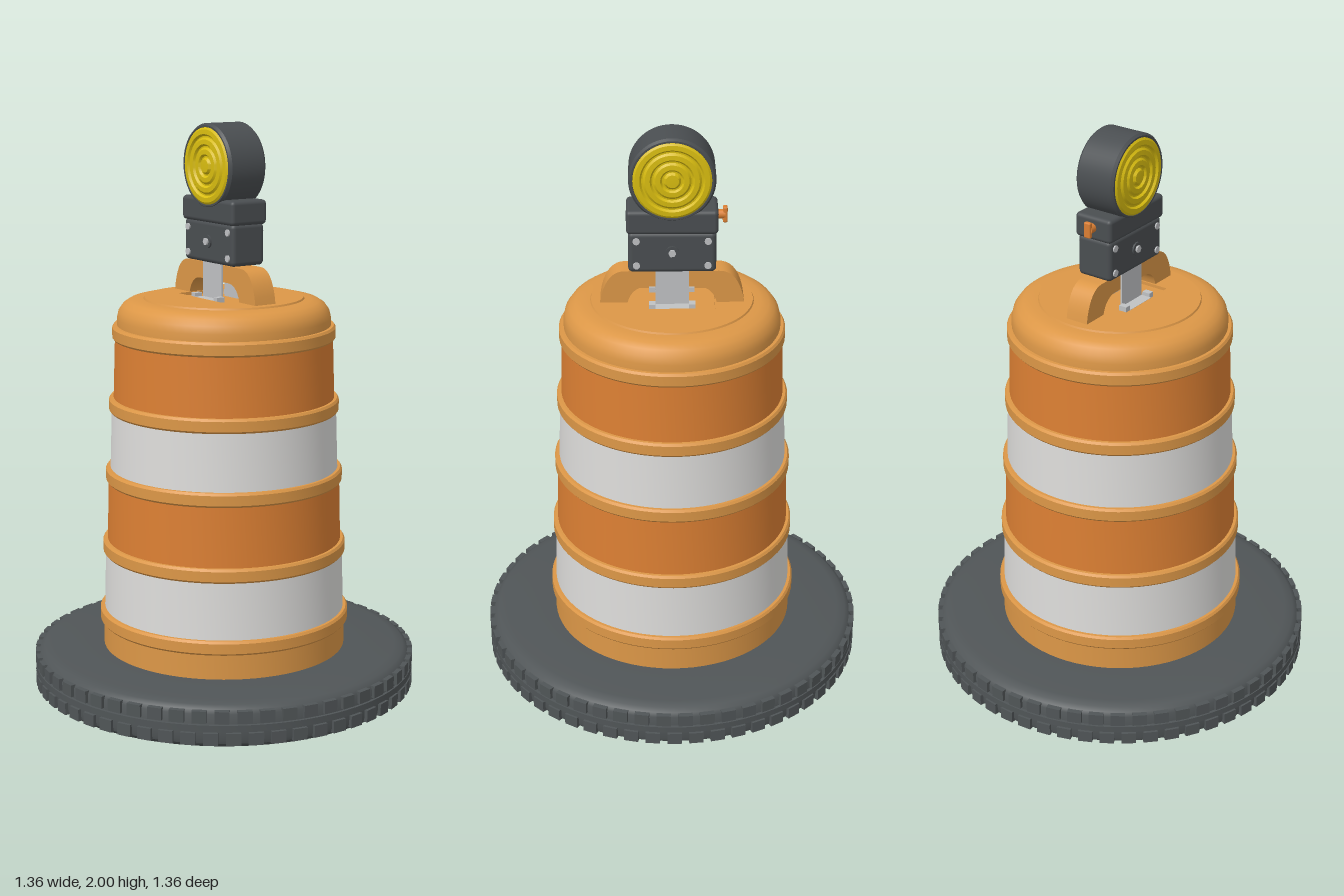
import * as THREE from 'three';
import { mergeGeometries, toCreasedNormals } from 'three/addons/utils/BufferGeometryUtils.js';
import { RoundedBoxGeometry } from 'three/addons/geometries/RoundedBoxGeometry.js';

const material = (name, color) => new THREE.MeshStandardMaterial({ name, color });

export function createModel() {
  const model = new THREE.Group();
  model.name = 'trafficBarrel';
  const shell = material('light orange plastic', 0xdc9747);
  const orange = material('orange reflective', 0xdb7f33);
  const white = material('white reflective', 0xdddcda);
  const rubber = material('dark rubber', 0x505557);
  const housing = material('charcoal housing', 0x4a4e51);
  const yellow = material('yellow lens', 0xd9bd10);
  const metal = material('light metal', 0xbfc1c3);

  const add = (name, geometry, mat, parent = model) => {
    const mesh = new THREE.Mesh(geometry, mat);
    mesh.name = name;
    parent.add(mesh);
    return mesh;
  };
  // Profiles run bottom to top so the faces point outwards
  const lathe = (points, segments = 72) => toCreasedNormals(
    new THREE.LatheGeometry(points.map(([r, y]) => new THREE.Vector2(r, y)), segments), 0.5);

  // Tyre ring used as the weighted base
  const tire = new THREE.Group();
  tire.name = 'tireBase';
  model.add(tire);
  add('tireCore', lathe([
    [0.41, 0.01], [0.51, 0.012], [0.515, 0], [0.645, 0], [0.664, 0.016], [0.668, 0.03],
    [0.668, 0.12], [0.66, 0.135], [0.645, 0.146], [0.615, 0.152], [0.41, 0.152],
  ], 112), rubber, tire);

  // Tread: two staggered rows of blocks and a middle rib
  const blocks = [];
  const count = 56;
  for (let i = 0; i < count; i++) {
    for (const [y, height, shift] of [[0.036, 0.042, 0], [0.112, 0.042, 0.5]]) {
      const block = new THREE.BoxGeometry(0.05, height, 0.03);
      block.translate(0, y, 0.664);
      block.rotateY((i + shift) / count * Math.PI * 2);
      blocks.push(block);
    }
  }
  add('treadBlocks', mergeGeometries(blocks), rubber, tire);
  add('treadRib', lathe([[0.66, 0.063], [0.678, 0.063], [0.678, 0.085], [0.66, 0.085]], 112), rubber, tire);

  // Barrel foot and closed bottom
  add('barrelBottom', lathe([
    [0, 0.006], [0.51, 0.006], [0.51, 0.02], [0.432, 0.03], [0.432, 0.245],
  ]), shell);

  // Raised ribs, with a coloured stripe above each
  const ribs = [[0.24, 0.444], [0.49, 0.431], [0.75, 0.418], [1.0, 0.404], [1.255, 0.39]];
  ribs.forEach(([y, r], i) => {
    const h = 0.05;
    add('rib', lathe([
      [r - 0.025, y], [r - 0.006, y], [r, y + 0.007],
      [r, y + h - 0.008], [r - 0.006, y + h], [r - 0.025, y + h],
    ]), shell);
    if (i === ribs.length - 1) return;
    const [nextY, nextR] = ribs[i + 1];
    add(i % 2 ? 'orangeStripe' : 'whiteStripe',
      lathe([[r - 0.016, y + h - 0.005], [nextR - 0.009, nextY + 0.005]]),
      i % 2 ? orange : white);
  });

  // Rounded lid shoulder
  const lidY = 1.402;
  add('lidShoulder', lathe([
    [0.373, 1.295], [0.373, 1.33], [0.367, 1.355], [0.352, 1.376], [0.332, 1.389],
    [0.305, 1.395], [0.28, 1.396], [0.277, lidY], [0.27, lidY],
  ]), shell);

  // Flat lid top with a shallow rectangular recess
  const disc = new THREE.Shape().absarc(0, 0, 0.271, 0, Math.PI * 2);
  const recess = new THREE.Path([
    [-0.094, -0.145], [-0.094, 0.145], [0.094, 0.145], [0.094, -0.145],
  ].map(([x, y]) => new THREE.Vector2(x, y)));
  disc.holes.push(recess);
  const lidTop = new THREE.ExtrudeGeometry(disc, { depth: 0.02, bevelEnabled: false, curveSegments: 36 });
  lidTop.rotateX(-Math.PI / 2).translate(0, lidY - 0.02, 0);
  add('lidTop', lidTop, shell);
  const floor = add('recessFloor', new THREE.BoxGeometry(0.2, 0.006, 0.3), shell);
  floor.position.y = lidY - 0.014;

  // Arched carrying handle
  const arch = new THREE.Shape();
  arch.moveTo(-0.248, 1.385);
  arch.lineTo(-0.24, 1.43);
  arch.quadraticCurveTo(-0.218, 1.518, -0.16, 1.518);
  arch.lineTo(0.16, 1.518);
  arch.quadraticCurveTo(0.218, 1.518, 0.24, 1.43);
  arch.lineTo(0.248, 1.385);
  arch.lineTo(0.155, 1.385);
  arch.quadraticCurveTo(0.145, 1.455, 0.09, 1.46);
  arch.lineTo(-0.09, 1.46);
  arch.quadraticCurveTo(-0.145, 1.455, -0.155, 1.385);
  const handle = new THREE.ExtrudeGeometry(arch, { depth: 0.084, bevelEnabled: false, curveSegments: 8 });
  handle.translate(0, 0, -0.042).rotateY(Math.PI / 2);
  add('handle', toCreasedNormals(handle, 0.5), shell);

  // Warning light
  const light = new THREE.Group();
  light.name = 'warningLight';
  model.add(light);

  const lowerCase = add('lowerCase', new RoundedBoxGeometry(0.134, 0.145, 0.296, 3, 0.016), housing, light);
  lowerCase.position.y = 1.595;
  const upperCase = add('upperCase', new RoundedBoxGeometry(0.146, 0.084, 0.308, 3, 0.014), housing, light);
  upperCase.position.y = 1.704;

  // Round lamp drum lying along x
  const lampY = 1.855;
  const drum = lathe([
    [0.128, -0.066], [0.132, -0.075], [0.138, -0.075], [0.145, -0.066],
    [0.145, 0.066], [0.138, 0.075], [0.132, 0.075], [0.128, 0.066],
  ], 56);
  drum.rotateZ(-Math.PI / 2);
  add('lampDrum', drum, housing, light).position.y = lampY;

  // Lens with concentric ridges
  const lensProfile = [[0.131, 0.06], [0.131, 0.074]];
  for (const r of [0.114, 0.08, 0.046]) {
    lensProfile.push([r + 0.01, 0.079], [r - 0.006, 0.08], [r - 0.012, 0.073], [r - 0.017, 0.073]);
  }
  lensProfile.push([0.022, 0.081], [0, 0.082]);

  for (const side of [1, -1]) {
    const lens = lathe(lensProfile, 48);
    lens.rotateZ(-side * Math.PI / 2);
    add('lens', lens, yellow, light).position.y = lampY;

    // Steel mounting strap with its foot
    const strap = add('mountingStrap', new THREE.BoxGeometry(0.007, 0.14, 0.114), metal, light);
    strap.position.set(side * 0.0465, 1.46, 0);
    const foot = add('strapFoot', new THREE.BoxGeometry(0.044, 0.007, 0.114), metal, light);
    foot.position.set(side * 0.068, 1.396, 0);
    for (const z of [-0.068, 0.068]) {
      const tab = add('footTab', new THREE.BoxGeometry(0.03, 0.018, 0.022), metal, light);
      tab.position.set(side * 0.068, 1.403, z);
    }

    // Case screws and central bolt
    const screw = (name, r, y, z, mat, depth, sides) => {
      const g = new THREE.CylinderGeometry(r, r, depth, sides).rotateZ(Math.PI / 2);
      add(name, g, mat, light).position.set(side * (0.066 + depth / 2), y, z);
    };
    for (const z of [-0.12, 0.12]) for (const y of [1.55, 1.638]) screw('caseScrew', 0.012, y, z, metal, 0.006, 16);
    screw('boltWasher', 0.023, 1.597, 0, housing, 0.007, 24);
    screw('boltHead', 0.013, 1.597, 0, metal, 0.014, 6);
  }

  // Switch knob on the back
  const stem = new THREE.CylinderGeometry(0.016, 0.016, 0.03, 16).rotateX(Math.PI / 2);
  add('switchStem', stem, orange, light).position.set(0, 1.708, -0.163);
  const knob = new RoundedBoxGeometry(0.026, 0.055, 0.016, 2, 0.005);
  add('switchKnob', knob, orange, light).position.set(0, 1.708, -0.178);

  return model;
}
